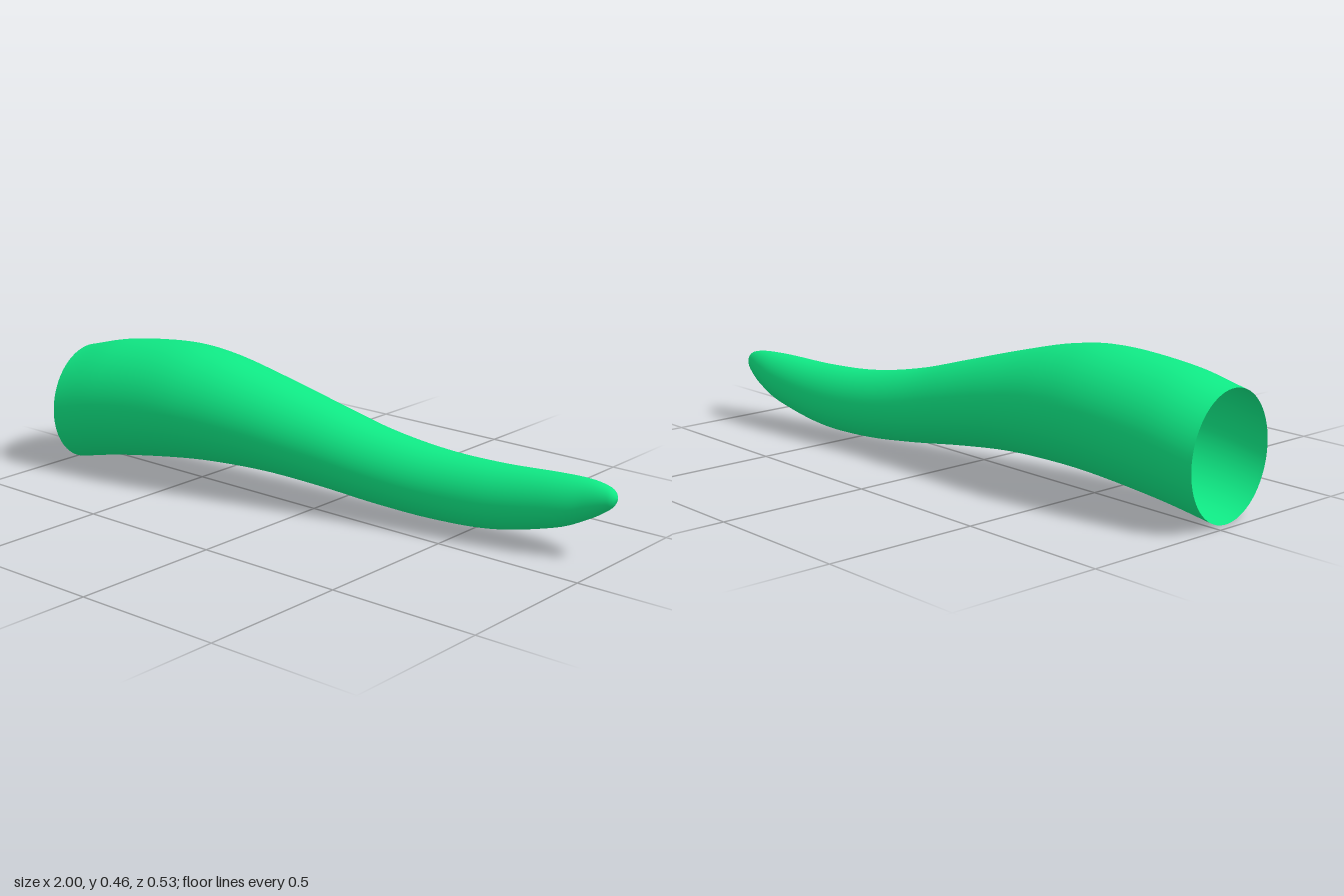
import * as THREE from 'three';

// Stations along the horn: centre x, y, z, then vertical and sideways radius
const STATIONS = [
  [-0.973, 0.2, 0.065, 0.198, 0.198],
  [-0.8, 0.238, 0.043, 0.202, 0.201],
  [-0.57, 0.265, 0.014, 0.197, 0.198],
  [-0.4, 0.264, -0.01, 0.183, 0.185],
  [-0.2, 0.24, -0.039, 0.158, 0.162],
  [0, 0.203, -0.071, 0.138, 0.139],
  [0.2, 0.163, -0.103, 0.122, 0.121],
  [0.4, 0.138, -0.136, 0.112, 0.108],
  [0.6, 0.136, -0.164, 0.104, 0.096],
  [0.8, 0.16, -0.191, 0.085, 0.076],
  [0.9, 0.181, -0.204, 0.063, 0.054],
  [0.96, 0.195, -0.207, 0.04, 0.035],
  [0.985, 0.2, -0.207, 0.023, 0.021],
  [0.998, 0.202, -0.207, 0, 0],
];

// Sweep parallel elliptical rings, all square to one slightly turned axis
function sweptHorn(rings, sides) {
  const spline = (points) => new THREE.CatmullRomCurve3(points, false, 'catmullrom', 0.5);
  const centres = spline(STATIONS.map((s) => new THREE.Vector3(s[0], s[1], s[2])));
  const radii = spline(STATIONS.map((s) => new THREE.Vector3(s[3], s[4], 0)));
  const across = new THREE.Vector3(0.14, 0, 0.99);
  const positions = [];
  const index = [];
  for (let i = 0; i <= rings; i++) {
    const c = centres.getPoint(i / rings);
    const r = radii.getPoint(i / rings);
    for (let j = 0; j < sides; j++) {
      const angle = (j / sides) * Math.PI * 2;
      const p = c.clone().addScaledVector(across, Math.sin(angle) * r.y);
      positions.push(p.x, p.y + Math.cos(angle) * r.x, p.z);
      if (i < rings) {
        const a = i * sides + j;
        const b = i * sides + ((j + 1) % sides);
        index.push(a, b, a + sides, b, b + sides, a + sides);
      }
    }
  }
  const geometry = new THREE.BufferGeometry();
  geometry.setAttribute('position', new THREE.Float32BufferAttribute(positions, 3));
  geometry.setIndex(index);
  geometry.computeVertexNormals();
  return geometry;
}

export function createModel() {
  const group = new THREE.Group();
  group.name = 'tentacle';
  // Hollow skin, open at the thick end
  const material = new THREE.MeshStandardMaterial({ color: 0x0fe884, side: THREE.DoubleSide });
  const skin = new THREE.Mesh(sweptHorn(130, 64), material);
  skin.name = 'taperedSkin';
  group.add(skin);
  return group;
}
